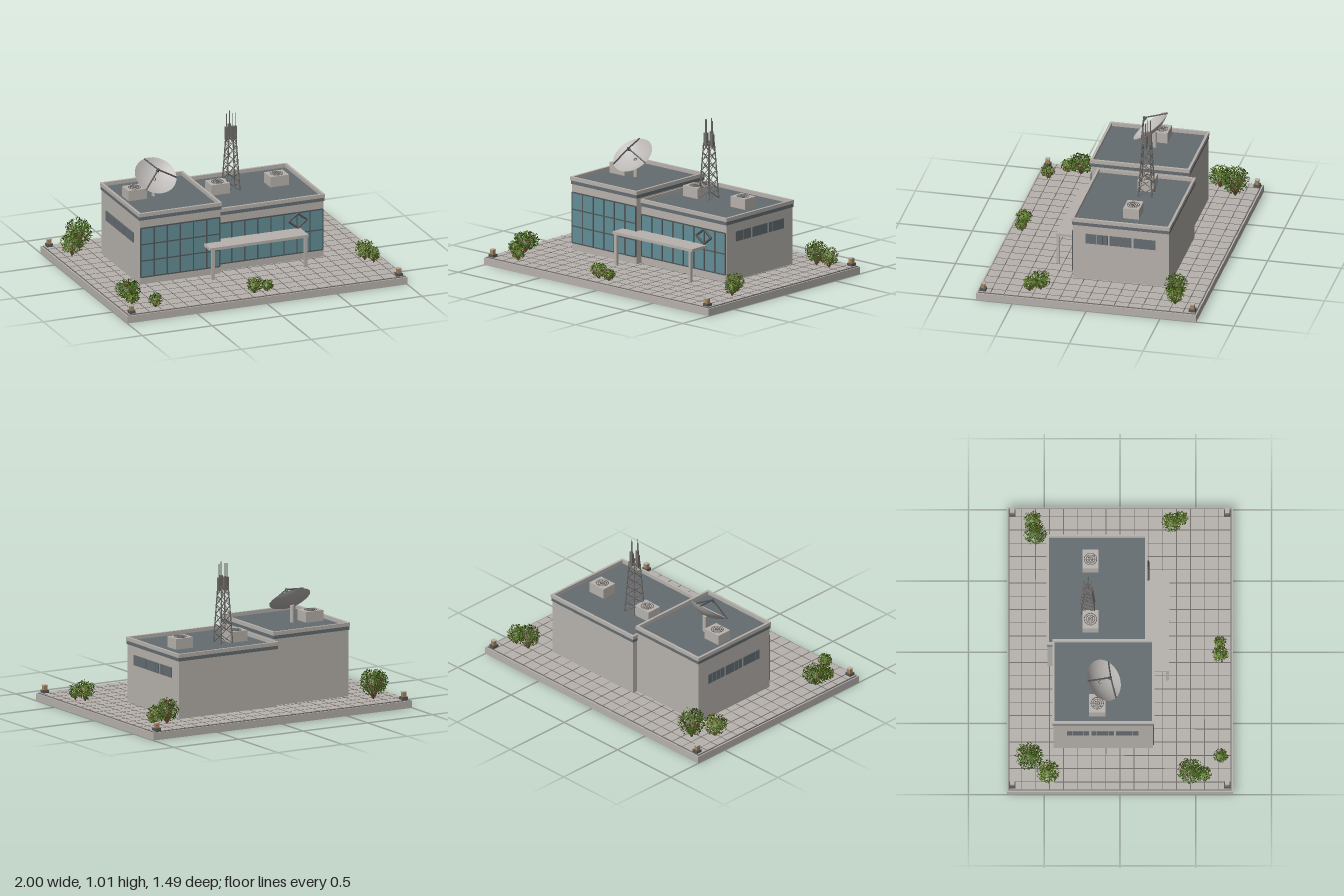
import * as THREE from 'three';
import { mergeGeometries } from 'three/addons/utils/BufferGeometryUtils.js';

const mat = (name, color, side = THREE.FrontSide) => {
  const m = new THREE.MeshStandardMaterial({ color, side });
  m.name = name;
  return m;
};
const V = (x, y, z) => new THREE.Vector3(x, y, z);

// Box given by its minimum and maximum corners
function box(x0, x1, y0, y1, z0, z1) {
  return new THREE.BoxGeometry(x1 - x0, y1 - y0, z1 - z0)
    .translate((x0 + x1) / 2, (y0 + y1) / 2, (z0 + z1) / 2);
}

// Round bar between two points
function bar(a, b, r, sides = 5) {
  const d = b.clone().sub(a);
  const g = new THREE.CylinderGeometry(r, r, d.length(), sides);
  g.applyQuaternion(new THREE.Quaternion().setFromUnitVectors(V(0, 1, 0), d.clone().normalize()));
  return g.translate((a.x + b.x) / 2, (a.y + b.y) / 2, (a.z + b.z) / 2);
}

// Rectangular ring lying flat, t wide
function ring(x0, x1, y0, y1, z0, z1, t) {
  return mergeGeometries([
    box(x0, x1, y0, y1, z0, z0 + t), box(x0, x1, y0, y1, z1 - t, z1),
    box(x0, x0 + t, y0, y1, z0 + t, z1 - t), box(x1 - t, x1, y0, y1, z0 + t, z1 - t),
  ]);
}

export function createModel() {
  const concrete = mat('concrete', 0xb7b2ad);
  const slate = mat('slate', 0x656d71);
  const glass = mat('glass', 0x628e97);
  const dark = mat('darkMetal', 0x535658);
  const grout = mat('greyMetal', 0x706d6a);
  const pale = mat('paleMetal', 0xbdb9b6, THREE.DoubleSide);
  const brown = mat('bark', 0x6e4c36);
  const amber = mat('lampAmber', 0xa88556);
  const leafA = mat('darkLeaf', 0x46681f, THREE.DoubleSide);
  const leafB = mat('oliveLeaf', 0x68802e, THREE.DoubleSide);

  const model = new THREE.Group();
  const add = (name, geo, m, parent = model) => {
    const mesh = new THREE.Mesh(Array.isArray(geo) ? mergeGeometries(geo) : geo, m);
    mesh.name = name;
    parent.add(mesh);
    return mesh;
  };

  // Paved base
  add('baseSlab', box(-1, 1, 0, 0.05, -0.745, 0.745), concrete);
  add('pavingEdge', box(-0.99, 0.99, 0.05, 0.055, -0.735, 0.735), grout);
  add('paving', box(-0.985, 0.985, 0.05, 0.057, -0.73, 0.73), concrete);
  const joints = [], step = 0.0931, jw = 0.0025;
  for (let i = -10; i <= 10; i++)
    joints.push(box(i * step - jw, i * step + jw, 0.056, 0.058, -0.73, 0.73));
  for (let i = -7; i <= 7; i++)
    joints.push(box(-0.985, 0.985, 0.056, 0.058, i * step - jw, i * step + jw));
  add('pavingJoints', joints, grout);

  // One wing: walls, roof trim, glazed front
  function wing(name, x0, x1, z0, z1, top, glassTop, cols, rows) {
    const g = new THREE.Group();
    g.name = name;
    model.add(g);
    const o = 0.008;
    add('walls', box(x0, x1, 0.05, top - 0.05, z0, z1), concrete, g);
    add('roofDeck', box(x0, x1, top - 0.05, top - 0.025, z0, z1), slate, g);
    add('roofBand', ring(x0 - 0.005, x1 + 0.005, top - 0.049, top - 0.025, z0 - 0.005, z1 + 0.005, 0.02), slate, g);
    add('parapet', ring(x0 - o, x1 + o, top - 0.025, top, z0 - o, z1 + o, 0.016), concrete, g);
    const a = x0 + 0.006, b = x1 - 0.006, y0 = 0.107;
    add('glazing', box(a, b, y0, glassTop, z1 - 0.004, z1 + 0.003), glass, g);
    const bars = [];
    for (let i = 0; i <= cols; i++) {
      const x = a + (b - a) * i / cols;
      bars.push(box(x - 0.004, x + 0.004, y0, glassTop, z1, z1 + 0.007));
    }
    for (let i = 0; i <= rows; i++) {
      const y = y0 + (glassTop - y0) * i / rows;
      bars.push(box(a, b, y - 0.004, y + 0.004, z1, z1 + 0.006));
    }
    add('mullions', bars, dark, g);
  }
  wing('tallWing', -0.693, -0.117, -0.439, 0.219, 0.555, 0.45, 6, 3);
  wing('lowWing', -0.117, 0.64, -0.477, 0.173, 0.495, 0.39, 8, 2);

  // Strip windows on the outer side walls, in narrow panes
  function sideWindows(name, x, zc) {
    const panes = [];
    for (let k = -1; k <= 1; k++) for (let i = -1.5; i <= 1.5; i++) {
      const c = zc + k * 0.162 + i * 0.0375;
      panes.push(box(x - 0.005, x + 0.005, 0.32, 0.388, c - 0.0179, c + 0.0179));
    }
    add(name, panes, slate);
  }
  sideWindows('leftSideWindows', 0.642, -0.152);
  sideWindows('rightSideWindows', -0.695, -0.115);

  // Entrance canopy on two posts
  add('canopy', box(-0.235, 0.47, 0.263, 0.282, 0.17, 0.325), concrete);
  add('canopyPosts', [-0.21, 0.45].map(x => box(x - 0.01, x + 0.01, 0.05, 0.265, 0.305, 0.325)), concrete);

  // Plain diamond ornament on the front wall
  const corners = [V(0.385, 0.338, 0.185), V(0.45, 0.388, 0.185), V(0.515, 0.338, 0.185), V(0.45, 0.288, 0.185)];
  add('wallDiamond', corners.map((p, i) => bar(p, corners[(i + 1) % 4], 0.008, 6)), dark);

  // Rooftop cooling units
  for (const [x, y, z] of [[-0.577, 0.53, -0.15], [0.035, 0.47, -0.195], [0.457, 0.47, -0.195]]) {
    const g = new THREE.Group();
    g.name = 'coolingUnit';
    g.position.set(x, y, z);
    model.add(g);
    add('housing', box(-0.066, 0.066, 0, 0.072, -0.054, 0.054), concrete, g);
    const fan = [0.015, 0.028, 0.041].map(r =>
      new THREE.TorusGeometry(r, 0.0025, 5, 24).rotateX(Math.PI / 2).translate(0, 0.073, 0));
    for (let i = 0; i < 4; i++) {
      const a = i * Math.PI / 4, c = 0.041 * Math.cos(a), s = 0.041 * Math.sin(a);
      fan.push(bar(V(-c, 0.073, -s), V(c, 0.073, s), 0.0014));
    }
    add('fanGrille', fan, grout, g);
  }

  // Satellite dish: local +y is the facing direction
  const dish = new THREE.Group();
  dish.name = 'dish';
  dish.position.set(-0.445, 0.682, -0.105);
  dish.rotation.x = 0.675;
  model.add(dish);
  const R = 0.142, profile = [];
  for (let i = 0; i <= 8; i++) profile.push(new THREE.Vector2(R * i / 8, 0.045 * ((i / 8) ** 2 - 1)));
  add('bowl', new THREE.LatheGeometry(profile, 40), pale, dish);
  const focus = V(0, 0.07, 0);
  add('feedStruts', [105, -15, 225].map(d => {
    const a = d * Math.PI / 180;
    return bar(V(R * Math.cos(a), 0, -R * Math.sin(a)), focus, 0.005, 6);
  }), dark, dish);
  add('feedHorn', new THREE.CylinderGeometry(0.007, 0.011, 0.025, 10).translate(0, 0.065, 0), dark, dish);
  add('dishHub', new THREE.TorusGeometry(0.01, 0.002, 5, 16).rotateX(Math.PI / 2).translate(0, -0.042, 0), dark, dish);
  add('dishPole', new THREE.CylinderGeometry(0.015, 0.015, 0.12, 14).translate(-0.445, 0.585, -0.135), concrete);

  // Lattice mast, tapering upwards
  const mast = new THREE.Group();
  mast.name = 'mast';
  mast.position.set(0.137, 0, -0.212);
  model.add(mast);
  const bays = 6, y0 = 0.47, y1 = 0.85;
  const node = (k, level) => {
    const t = level / bays, w = 0.046 - 0.021 * t;
    return V([w, w, -w, -w][k % 4], y0 + (y1 - y0) * t, [w, -w, -w, w][k % 4]);
  };
  const lattice = [];
  for (let k = 0; k < 4; k++) {
    lattice.push(bar(node(k, 0), node(k, bays), 0.0045));
    lattice.push(bar(node(k, bays), node(k + 1, bays), 0.003));
    for (let j = 0; j < bays; j++) {
      lattice.push(bar(node(k, j), node(k + 1, j + 1), 0.0025), bar(node(k + 1, j), node(k, j + 1), 0.0025));
    }
  }
  add('lattice', lattice, grout, mast);
  const panels = [], rods = [];
  for (const [x, z, y] of [[-0.031, 0, 0.87], [0.031, 0, 0.87], [0, 0.025, 0.88], [0, -0.025, 0.88]]) {
    panels.push(box(x - 0.009, x + 0.009, y - 0.05, y + 0.04, z - 0.009, z + 0.009));
    rods.push(bar(V(x, y, z), V(x, y + 0.132, z), 0.003));
  }
  add('antennaPanels', panels, grout, mast);
  add('antennaRods', rods, grout, mast);

  // Corner lamps
  for (const x of [-0.955, 0.955]) for (const z of [-0.71, 0.707]) {
    const g = new THREE.Group();
    g.name = 'cornerLamp';
    g.position.set(x, 0.05, z);
    model.add(g);
    add('lampBase', box(-0.021, 0.021, 0, 0.025, -0.021, 0.021), dark, g);
    add('lampPost', box(-0.013, 0.013, 0.025, 0.055, -0.013, 0.013), amber, g);
    add('lampCap', box(-0.015, 0.015, 0.055, 0.06, -0.015, 0.015), concrete, g);
  }

  // Shrubs: branches under a cloud of small leaves; woody ones show more bark
  let seed = 7;
  const rnd = () => (seed = (seed * 16807) % 2147483647) / 2147483647;
  const dir = () => V(rnd() * 2 - 1, rnd() * 2 - 1, rnd() * 2 - 1).normalize();
  function shrub(x, z, r, top, woody) {
    const g = new THREE.Group();
    g.name = 'shrub';
    g.position.set(x, 0.055, z);
    model.add(g);
    const h = top - 0.055, twigs = [], leaves = [[], []], normals = [[], []];
    for (let i = 0; i < (woody ? 22 : 7); i++) {
      const a = i * 2.4, q = r * (0.3 + 0.6 * rnd());
      twigs.push(bar(V(0, 0, 0), V(q * Math.cos(a), h * (0.45 + 0.4 * rnd()), q * Math.sin(a)), 0.0028, 4));
    }
    add('branches', twigs, brown, g);
    const count = Math.round(90000 * r * r + 200);
    for (let i = 0; i < count; i++) {
      const out = dir(), c = out.clone().multiplyScalar(Math.pow(rnd(), 0.5));
      c.set(c.x * r, h * (0.55 + 0.44 * c.y), c.z * r);
      // Leaves face outwards and slightly up
      out.y += 0.5;
      out.normalize();
      const u = dir().multiplyScalar(0.0075), v = dir().multiplyScalar(0.0055);
      if (u.clone().cross(v).dot(out) < 0) v.negate();
      const p = [c.clone().add(u), c.clone().add(v), c.clone().sub(u), c.clone().sub(v)];
      for (const k of [0, 1, 2, 0, 2, 3]) {
        leaves[i % 2].push(p[k].x, p[k].y, p[k].z);
        normals[i % 2].push(out.x, out.y, out.z);
      }
    }
    leaves.forEach((list, i) => {
      const geo = new THREE.BufferGeometry();
      geo.setAttribute('position', new THREE.Float32BufferAttribute(list, 3));
      geo.setAttribute('normal', new THREE.Float32BufferAttribute(normals[i], 3));
      add('leaves', geo, i && !woody ? leafB : leafA, g);
    });
  }
  [[-0.79, -0.6, 0.095, 0.27, true], [-0.89, -0.475, 0.08, 0.22, false], [0.78, -0.56, 0.078, 0.235, true],
    [0.88, -0.575, 0.062, 0.2, false], [0.865, 0.34, 0.068, 0.2, false], [0.9, 0.405, 0.047, 0.17, false],
    [-0.88, 0.465, 0.09, 0.2, true], [-0.89, 0.555, 0.052, 0.15, false], [-0.765, 0.665, 0.048, 0.16, false],
    [-0.055, 0.66, 0.056, 0.17, false], [0.035, 0.66, 0.042, 0.14, false],
  ].forEach(s => shrub(...s));

  return model;
}
